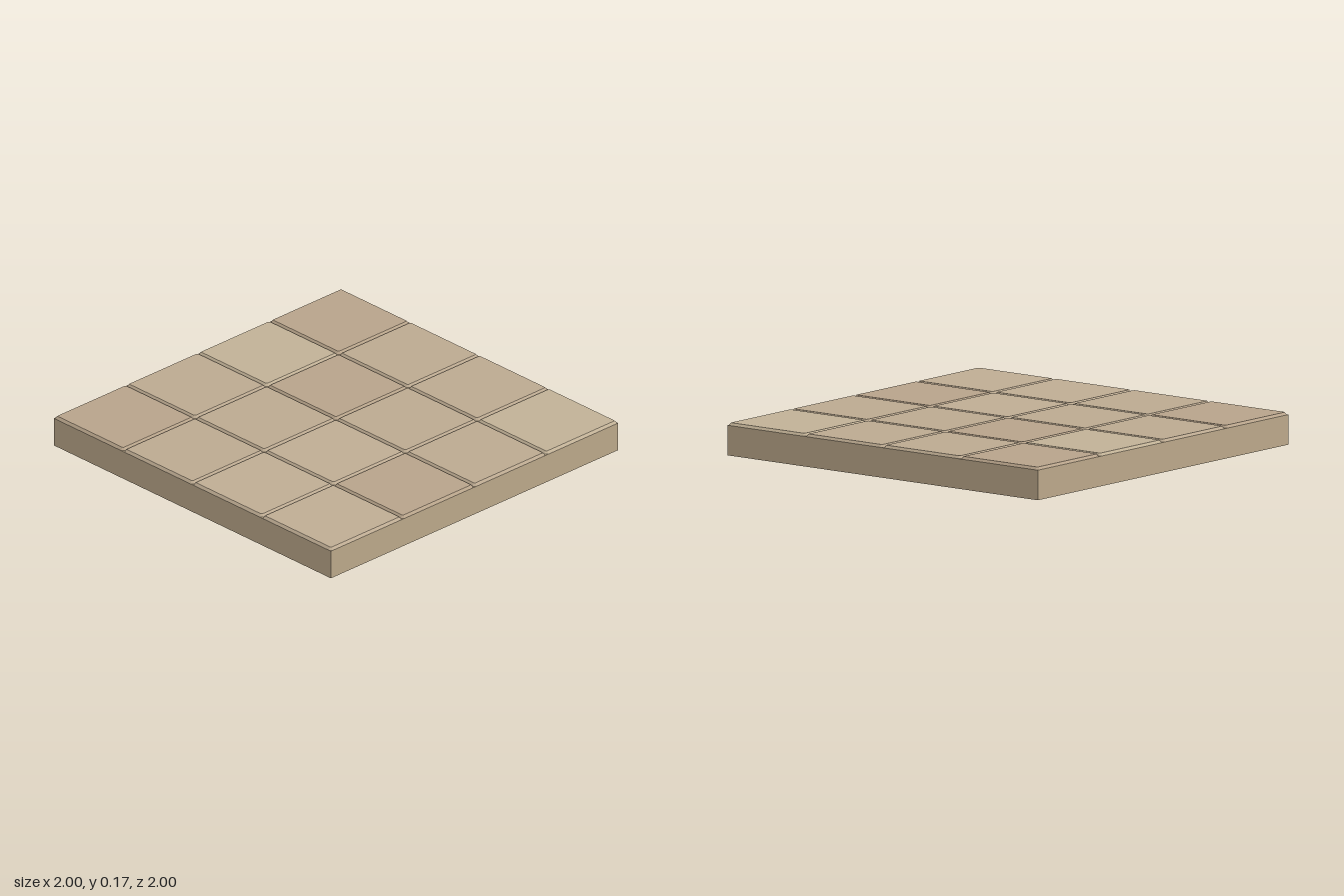
import * as THREE from 'three';

const CELL = 0.5, BASE_H = 0.153, BEVEL = 0.012, TOP = 0.166;

// Square tile with clipped corners and a single chamfer around its top
function tileGeometry() {
  const h = CELL / 2 - BEVEL, c = 0.006;
  const outline = [
    [h, -h + c], [h, h - c], [h - c, h], [-h + c, h],
    [-h, h - c], [-h, -h + c], [-h + c, -h], [h - c, -h],
  ].map(([x, y]) => new THREE.Vector2(x, y));
  const geo = new THREE.ExtrudeGeometry(new THREE.Shape(outline), {
    depth: 0.001, bevelEnabled: true, bevelSegments: 1,
    bevelSize: BEVEL, bevelThickness: TOP - BASE_H,
  });
  geo.rotateX(-Math.PI / 2);
  geo.translate(0, BASE_H - 0.001, 0); // lower chamfer is sunk into the slab
  return geo;
}

export function createModel() {
  const group = new THREE.Group();
  group.name = 'tiledFloor';

  // Solid slab under the tiles
  const slab = new THREE.Mesh(
    new THREE.BoxGeometry(2, BASE_H, 2),
    new THREE.MeshStandardMaterial({ color: 0xbba88a, flatShading: true })
  );
  slab.position.y = BASE_H / 2;
  slab.name = 'slab';
  group.add(slab);

  // Four stone shades, laid out row by row from the back
  const shades = [0xb7a38a, 0xbba990, 0xbeac93, 0xc1b196].map(
    (color) => new THREE.MeshStandardMaterial({ color, flatShading: true })
  );
  const layout = ['0113', '3011', '1120', '0122'];
  const geo = tileGeometry();
  layout.forEach((row, r) => {
    [...row].forEach((shade, c) => {
      const tile = new THREE.Mesh(geo, shades[+shade]);
      tile.position.set((c - 1.5) * CELL, 0, (r - 1.5) * CELL);
      tile.name = `tile_${r + 1}_${c + 1}`;
      group.add(tile);
    });
  });
  return group;
}
